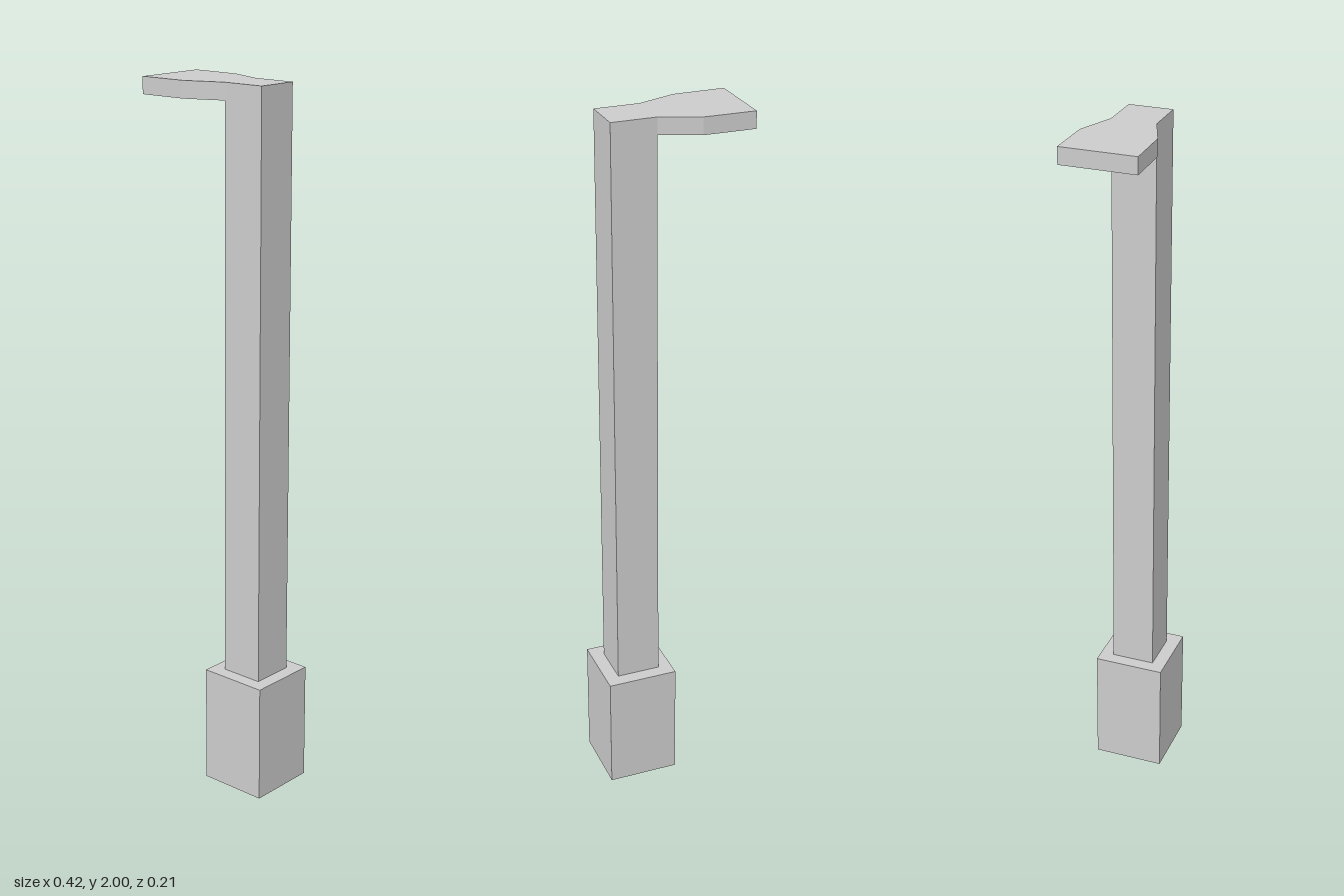
import * as THREE from 'three';

const material = new THREE.MeshStandardMaterial({ color: 0xcccccc, flatShading: true });

// Box given by its x range, y range and half depth
function block(name, x0, x1, y0, y1, halfZ) {
  const mesh = new THREE.Mesh(new THREE.BoxGeometry(x1 - x0, y1 - y0, halfZ * 2), material);
  mesh.name = name;
  mesh.position.set((x0 + x1) / 2, (y0 + y1) / 2, -0.001);
  return mesh;
}

// Flat plate extruded upwards from y0 to y1
function plate(name, shape, y0, y1) {
  const geometry = new THREE.ExtrudeGeometry(shape, { depth: y1 - y0, bevelEnabled: false });
  geometry.rotateX(-Math.PI / 2);
  const mesh = new THREE.Mesh(geometry, material);
  mesh.name = name;
  mesh.position.set(0, y0, -0.001);
  return mesh;
}

// Head outline: one side mirrored to the other
function headOutline() {
  const side = [[-0.209, 0.106], [-0.125, 0.105], [-0.065, 0.104], [0.043, 0.062]];
  const mirrored = side.map(([x, z]) => [x, -z]);
  const points = [...mirrored, ...side.reverse()];
  return new THREE.Shape(points.map(([x, z]) => new THREE.Vector2(x, z)));
}

export function createModel() {
  const lamp = new THREE.Group();
  lamp.name = 'streetLamp';

  // Base and post
  lamp.add(block('base', 0.005, 0.207, 0, 0.34, 0.101));
  lamp.add(block('post', 0.043, 0.168, 0.34, 2, 0.062));

  // Flared lamp head: solid top over a rim that frames the light recess
  const head = new THREE.Group();
  head.name = 'lampHead';
  const rim = headOutline();
  const recess = [[-0.183, -0.06], [-0.183, 0.06], [-0.067, 0.06], [-0.067, -0.06]];
  rim.holes.push(new THREE.Path(recess.map(([x, z]) => new THREE.Vector2(x, z))));
  head.add(plate('headRim', rim, 1.953, 1.97));
  head.add(plate('headTop', headOutline(), 1.97, 2));
  lamp.add(head);

  return lamp;
}
